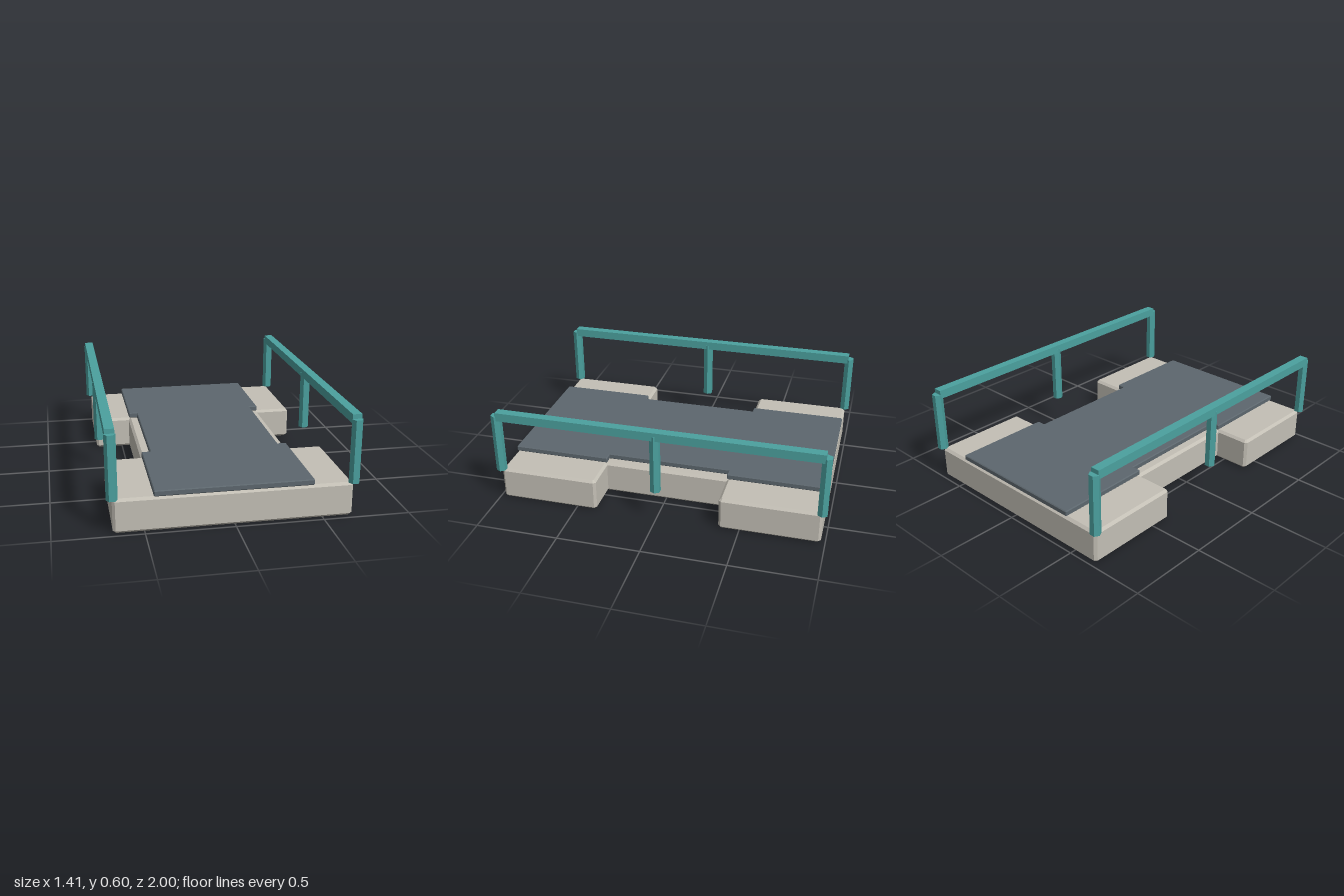
import * as THREE from 'three';

const concrete = new THREE.MeshStandardMaterial({ color: 0xc3bfb5, flatShading: true });
const asphalt = new THREE.MeshStandardMaterial({ color: 0x5d676e, flatShading: true });
const teal = new THREE.MeshStandardMaterial({ color: 0x4ba19f, flatShading: true });

// H-shaped plan with a notch on each side, all outer edges chamfered by c
function notchedSlab(name, halfW, waist, halfL, notch, y0, y1, c, material) {
  const quarter = [
    [waist, 0], [waist, notch],
    [halfW - c, notch], [halfW, notch + c],
    [halfW, halfL - c], [halfW - c, halfL],
  ].slice(1);
  const mirror = (sx, sy) => quarter.map(([x, y]) => new THREE.Vector2(x * sx, y * sy));
  const outline = [
    ...mirror(1, 1), ...mirror(-1, 1).reverse(),
    ...mirror(-1, -1), ...mirror(1, -1).reverse(),
  ];
  const geometry = new THREE.ExtrudeGeometry(new THREE.Shape(outline), {
    depth: y1 - y0 - 2 * c,
    bevelEnabled: true, bevelThickness: c, bevelSize: c, bevelOffset: -c, bevelSegments: 1,
  });
  geometry.rotateX(-Math.PI / 2).translate(0, y0 + c, 0);
  const mesh = new THREE.Mesh(geometry, material);
  mesh.name = name;
  return mesh;
}

// Hand rail on three hexagonal posts
function railing(name, x) {
  const group = new THREE.Group();
  group.name = name;
  const rail = new THREE.Mesh(new THREE.BoxGeometry(0.054, 0.053, 1.936), teal);
  rail.name = 'handRail';
  rail.position.set(x, 0.57, 0);
  group.add(rail);
  const postGeometry = new THREE.CylinderGeometry(0.032, 0.032, 0.37, 6).rotateY(Math.PI / 2);
  for (const z of [-0.972, 0, 0.972]) {
    const post = new THREE.Mesh(postGeometry, teal);
    post.name = 'post';
    post.position.set(x, 0.385, z);
    group.add(post);
  }
  return group;
}

export function createModel() {
  const model = new THREE.Group();
  model.name = 'bridgeSegment';
  model.add(
    notchedSlab('base', 0.672, 0.45, 0.975, 0.375, 0, 0.2, 0.015, concrete),
    notchedSlab('roadDeck', 0.447, 0.394, 0.974, 0.376, 0.2, 0.234, 0.005, asphalt),
    railing('leftRailing', 0.672),
    railing('rightRailing', -0.672),
  );
  return model;
}
